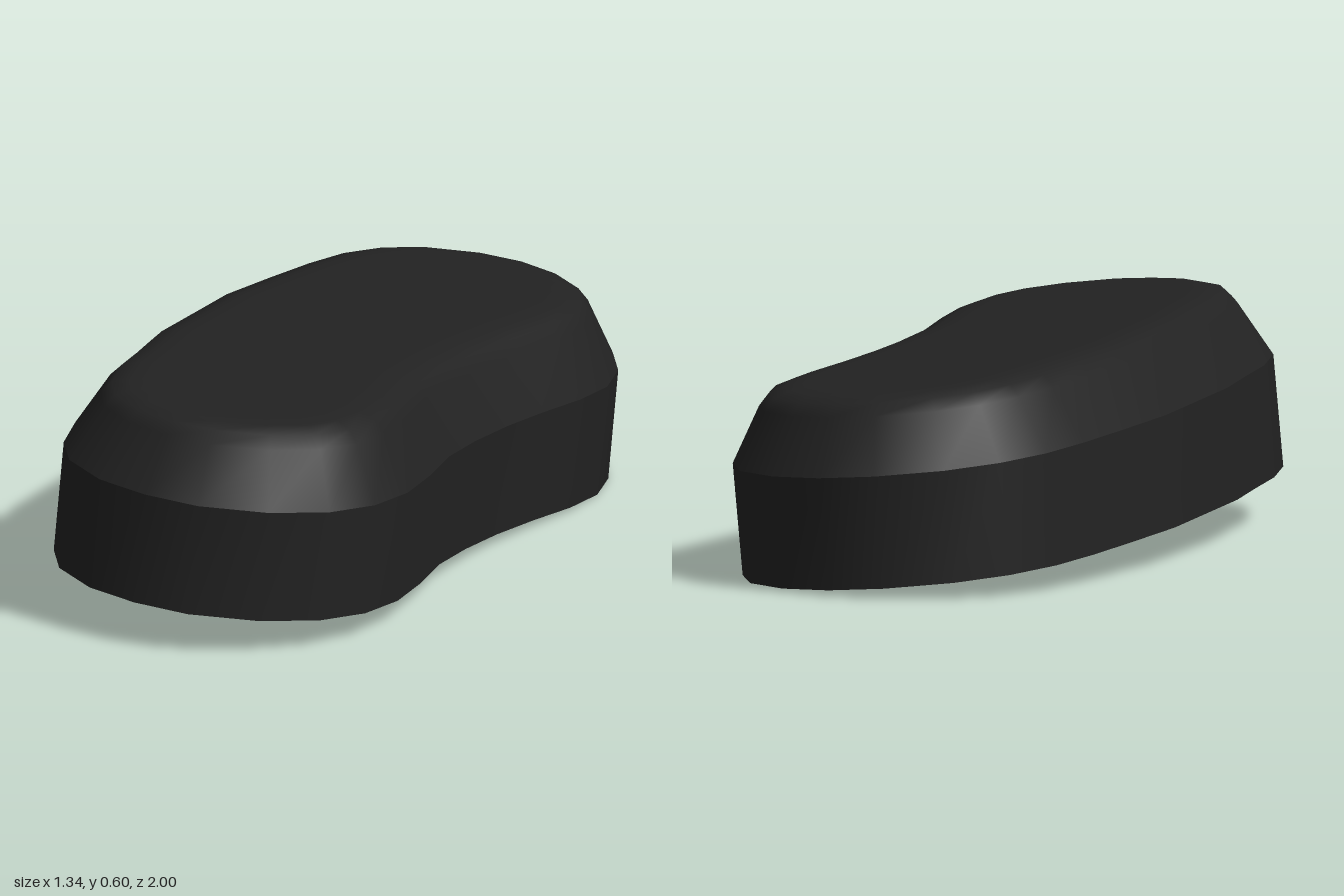
import * as THREE from 'three';

// Kidney outline in plan (x, z), clockwise seen from above
const OUTLINE = [
  [-0.17, -1], [-0.01, -0.96], [0.11, -0.87], [0.2, -0.75], [0.25, -0.61], [0.285, -0.45],
  [0.33, -0.28], [0.385, -0.12], [0.45, 0.03], [0.55, 0.19], [0.63, 0.34], [0.67, 0.49],
  [0.66, 0.64], [0.59, 0.79], [0.46, 0.92], [0.32, 0.98], [0.17, 1], [0.01, 0.96],
  [-0.11, 0.87], [-0.22, 0.73], [-0.3, 0.585], [-0.39, 0.43], [-0.47, 0.24], [-0.55, 0.05],
  [-0.605, -0.155], [-0.65, -0.34], [-0.675, -0.5], [-0.66, -0.655], [-0.595, -0.795],
  [-0.465, -0.92], [-0.325, -0.985],
].map(([x, z]) => [x * 0.987, z * 0.99]);
const N = OUTLINE.length;

// Slopes of the tilted base plane
const SX = -0.054, SZ = 0.07;

// Point at plan position (x, z) and height h above the tilted base plane
function place(x, z, h) {
  const lean = h - 0.145;
  return [x - SX * lean, 0.0625 + SX * x + SZ * z + h, z - SZ * lean];
}

// One ring of the outline, moved inward by inset
function ring(inset, h) {
  return OUTLINE.flatMap(([x, z], i) => {
    const a = OUTLINE[(i + N - 1) % N], b = OUTLINE[(i + 1) % N];
    const tx = b[0] - a[0], tz = b[1] - a[1], len = Math.hypot(tx, tz);
    return place(x - (tz / len) * inset, z + (tx / len) * inset, h);
  });
}

// Skin a stack of [inset, height] rings, optionally closed by a cap
function loft(levels, capHeight) {
  const positions = levels.flatMap(([inset, h]) => ring(inset, h));
  const index = [];
  for (let k = 0; k < levels.length - 1; k++) {
    for (let i = 0; i < N; i++) {
      const j = (i + 1) % N;
      const a = k * N + i, b = k * N + j, c = a + N, d = b + N;
      index.push(a, c, b, b, c, d);
    }
  }
  if (capHeight !== undefined) {
    const centre = positions.length / 3, last = (levels.length - 1) * N;
    positions.push(...place(-0.05, 0, capHeight));
    for (let i = 0; i < N; i++) index.push(centre, last + (i + 1) % N, last + i);
  }
  const geometry = new THREE.BufferGeometry();
  geometry.setAttribute('position', new THREE.Float32BufferAttribute(positions, 3));
  geometry.setIndex(index);
  geometry.computeVertexNormals();
  return geometry;
}

export function createModel() {
  const group = new THREE.Group();
  group.name = 'kidneyCap';
  const black = new THREE.MeshStandardMaterial({ color: 0x222222, side: THREE.DoubleSide });
  black.name = 'black';

  // Open-bottomed side wall
  const wall = new THREE.Mesh(loft([[0, 0], [0, 0.29]]), black);
  wall.name = 'sideWall';

  // Bevelled shoulder rounding into the nearly flat top
  const top = new THREE.Mesh(
    loft([[0, 0.29], [0.08, 0.432], [0.108, 0.463], [0.15, 0.476], [0.2, 0.481]], 0.484), black);
  top.name = 'topShell';

  group.add(wall, top);
  return group;
}
